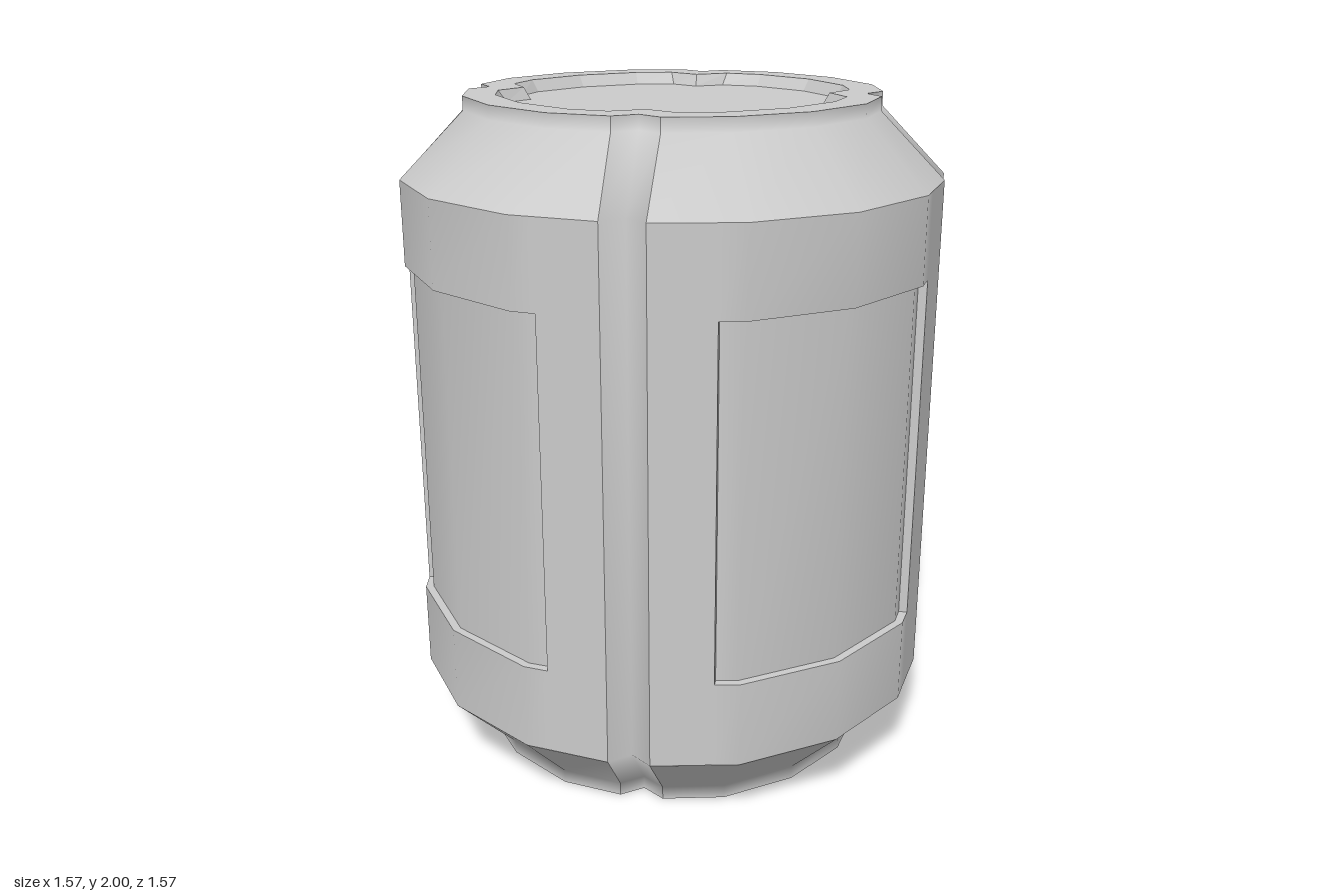
import * as THREE from 'three';

const material = new THREE.MeshStandardMaterial({ color: 0xcccccc });

// Mesh from rows of points; rows run left to right as seen from outside, stacked upwards.
function sheet(name, rows, { smooth = true, skip = () => false } = {}) {
  const n = rows[0].length, index = [];
  for (let j = 0; j < rows.length - 1; j++) {
    for (let i = 0; i < n - 1; i++) {
      if (skip(i, j)) continue;
      const a = j * n + i, b = a + 1, c = b + n, d = a + n;
      index.push(a, b, c, a, c, d);
    }
  }
  let geometry = new THREE.BufferGeometry();
  geometry.setAttribute('position', new THREE.Float32BufferAttribute(rows.flat(2), 3));
  geometry.setIndex(index);
  if (!smooth) geometry = geometry.toNonIndexed();
  geometry.computeVertexNormals();
  const mesh = new THREE.Mesh(geometry, material);
  mesh.name = name;
  return mesh;
}

// Quarter outlines [x, z]: groove tip, groove mouth, shoulder corner, diagonal corner.
const bodyOutline = { tip: 0.74, mouth: [0.06, 0.787], side: [0.306, 0.74], diag: 0.567 };
const rimOutline = { tip: 0.555, mouth: [0.064, 0.6], side: [0.243, 0.563], diag: 0.432 };
const recessOutline = { tip: 0.45, mouth: [0.09, 0.503], side: [0.203, 0.478], diag: 0.365 };
const floorOutline = { tip: 0.43, mouth: [0.08, 0.48], side: [0.195, 0.458], diag: 0.35 };

const swap = ([x, z]) => [z, x];
const at = (points, y) => points.map(([x, z]) => [x, y, z]);
const quarter = (o) => [o.mouth, o.side, [o.diag, o.diag], swap(o.side), swap(o.mouth)];
const groove = (o) => [[-o.mouth[0], o.mouth[1]], [0, o.tip], o.mouth];

// Whole closed outline made of four turned quarters.
function ring(o, y) {
  const points = [];
  for (let k = 0; k < 4; k++) {
    const c = Math.round(Math.cos(k * Math.PI / 2)), s = Math.round(Math.sin(k * Math.PI / 2));
    for (const [x, z] of [[0, o.tip], ...quarter(o)]) points.push([c * x + s * z, y, c * z - s * x]);
  }
  return [...points, points[0]];
}

// Heights of the side profile
const profile = [[0, rimOutline], [0.04, rimOutline], [0.235, bodyOutline],
  [1.77, bodyOutline], [1.96, rimOutline], [2, rimOutline]];

// One quarter of the shell: wall with a sunken panel, both shoulders and a groove.
function createQuarter() {
  const group = new THREE.Group();
  const panelEdge = [0.235, 0.753];
  const [m0, s0, d, s1, m1] = quarter(bodyOutline);
  const wall = [m0, panelEdge, s0, d, s1, swap(panelEdge), m1];
  const low = 0.49, high = 1.52;
  group.add(sheet('wall', [0.235, low, high, 1.77].map((y) => at(wall, y)),
    { skip: (i, j) => j === 1 && i > 0 && i < 5 }));

  // Sunken panel and its four edge strips
  const outer = wall.slice(1, 6);
  const inner = outer.map(([x, z]) => [x * 0.97, z * 0.97]);
  inner[0] = [0.235, 0.728];
  inner[4] = swap(inner[0]);
  group.add(sheet('panel', [at(inner, low), at(inner, high)]));
  const flat = { smooth: false };
  group.add(sheet('panelLowerEdge', [at(outer, low), at(inner, low)], flat));
  group.add(sheet('panelUpperEdge', [at(inner, high), at(outer, high)], flat));
  group.add(sheet('panelSideEdge', [low, high].map((y) => at([outer[0], inner[0]], y)), flat));
  group.add(sheet('panelSideEdge', [low, high].map((y) => at([inner[4], outer[4]], y)), flat));

  // Sloping shoulders with the short upright rim
  const rows = profile.map(([y, o]) => at(quarter(o), y));
  group.add(sheet('lowerShoulder', rows.slice(0, 3)));
  group.add(sheet('upperShoulder', rows.slice(3)));

  // V-shaped groove running the full height
  group.add(sheet('groove', profile.map(([y, o]) => at(groove(o), y))));
  return group;
}

// End cap: flat rim, recess wall and recessed floor.
function createCap() {
  const group = new THREE.Group();
  const flat = { smooth: false };
  const floor = ring(floorOutline, 1.965);
  group.add(sheet('rim', [ring(rimOutline, 2), ring(recessOutline, 2)], flat));
  group.add(sheet('recessWall', [ring(recessOutline, 2), floor], flat));
  group.add(sheet('recessFloor', [floor, floor.map(() => [0, 1.965, 0])], flat));
  return group;
}

export function createModel() {
  const model = new THREE.Group();
  model.name = 'canister';
  for (let k = 0; k < 4; k++) {
    const side = createQuarter();
    side.name = 'shellQuarter' + (k + 1);
    side.rotation.y = k * Math.PI / 2;
    model.add(side);
  }
  const topCap = createCap();
  topCap.name = 'topCap';
  const bottomCap = createCap();
  bottomCap.name = 'bottomCap';
  bottomCap.rotation.x = Math.PI;
  bottomCap.position.y = 2;
  model.add(topCap, bottomCap);
  return model;
}
